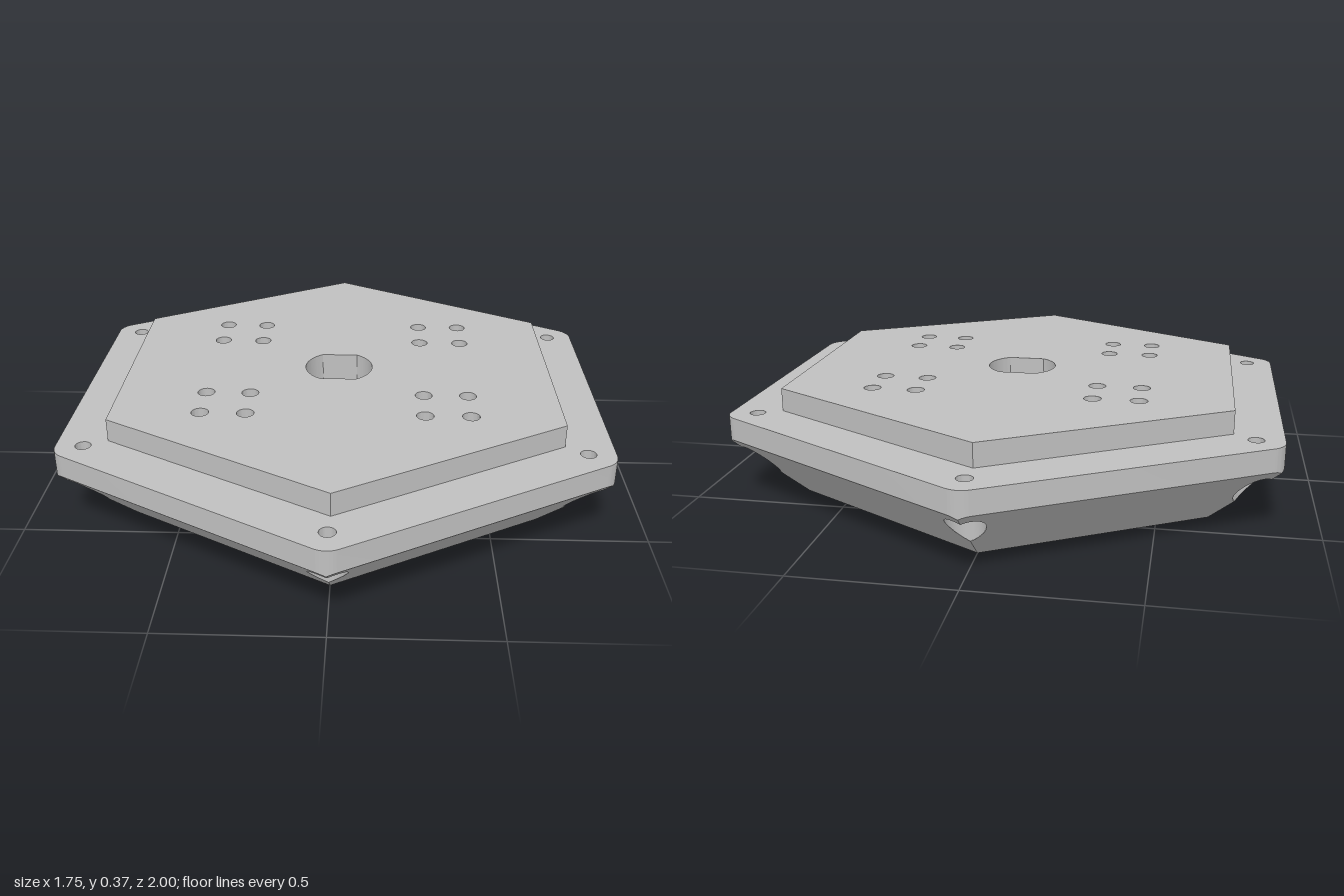
import * as THREE from 'three';
import { toCreasedNormals } from 'three/addons/utils/BufferGeometryUtils.js';

const BASE = 0.66, RIM = 0.215, FLANGE_TOP = 0.29, TOP = 0.365, BORE = 0.31;
const C30 = Math.cos(Math.PI / 6), T30 = Math.tan(Math.PI / 6);
const CORNER_R = 0.91, BOLT = 0.025, SEAT = 0.058, SEAT_Y = 0.186, SCREW = 0.028;

const material = new THREE.MeshStandardMaterial({ color: 0xc0c0c0, side: THREE.DoubleSide });
material.name = 'light grey';

const polar = (r, a) => new THREE.Vector2(r * Math.cos(a), r * Math.sin(a));
const corners = [0, 1, 2, 3, 4, 5].map(k => Math.PI / 6 + k * Math.PI / 3);

function hexShape(apothem, turn = 0) {
  return new THREE.Shape(corners.map(a => polar(apothem / C30, a + turn)));
}

function roundedHex(apothem, r) {
  const s = new THREE.Shape();
  for (const a of corners) {
    const c = polar((apothem - r) / C30, a);
    s.absarc(c.x, c.y, r, a - Math.PI / 6, a + Math.PI / 6, false);
  }
  return s;
}

function circle(x, y, r) {
  return new THREE.Path().absarc(x, y, r, 0, Math.PI * 2, true);
}

// Four groups of four screw holes
const screws = [];
for (const x of [-0.43, -0.285, 0.285, 0.43])
  for (const z of [-0.36, -0.215, 0.215, 0.36]) screws.push([x, z]);
const screwHoles = () => screws.map(([x, z]) => circle(x, z, SCREW));

// Round shaft opening with two flats
function shaftHole() {
  const r = 0.115, a = Math.asin(0.098 / r), p = new THREE.Path();
  p.absarc(0, 0, r, a, -a, true);
  p.absarc(0, 0, r, Math.PI + a, Math.PI - a, true);
  p.closePath();
  return p;
}

function slab(shape, y0, y1) {
  const g = new THREE.ExtrudeGeometry(shape, { depth: y1 - y0, bevelEnabled: false, curveSegments: 14 });
  return g.rotateX(-Math.PI / 2).translate(0, y0, 0);
}

// Skin through closed rings of points
function loft(rings) {
  const n = rings[0].length, index = [];
  for (let i = 0; i < rings.length - 1; i++)
    for (let j = 0; j < n; j++) {
      const a = i * n + j, b = i * n + (j + 1) % n;
      index.push(a, b, a + n, b, b + n, a + n);
    }
  const g = new THREE.BufferGeometry();
  g.setAttribute('position', new THREE.Float32BufferAttribute(rings.flat(2), 3));
  g.setIndex(index);
  return toCreasedNormals(g, 0.6);
}

// Strap tunnel section: t = 0 at the sloped side, 1 at the underside
function tunnelSection(t) {
  const f = (2 * t - 1) ** 2;
  const inner = 0.1 + (THREE.MathUtils.lerp(0.057, 0.085, t) - 0.1) * f;
  const outer = 0.2 + (THREE.MathUtils.lerp(0.24, 0.28, t) - 0.2) * f;
  return { inner, outer, wIn: 0.075 + 0.018 * f, wOut: 0.075, angle: Math.PI / 4 * (1 + 3 * t) };
}

// Sloped side, drawn flat as (u, y), with bites for the bolt seats
function sideGeometry(hasSlot) {
  const s = new THREE.Shape(), u = 0.788 * T30, yc = 0.788 - BASE;
  const ur = 0.805 * T30, yr = 0.805 - BASE, P = Math.PI;
  s.moveTo(-BASE * T30, 0);
  s.lineTo(BASE * T30, 0);
  s.absarc(u, yc, SEAT, P * 4 / 3, P / 3, true);
  s.absarc(ur, yr, 0.07, P / 3, P / 2, false);
  s.absarc(-ur, yr, 0.07, P / 2, P * 2 / 3, false);
  s.absarc(-u, yc, SEAT, P * 2 / 3, -P / 3, true);
  s.closePath();
  if (hasSlot) {
    const m = tunnelSection(0), y0 = m.inner * Math.SQRT1_2, y1 = m.outer * Math.SQRT1_2;
    s.holes.push(new THREE.Path([[-m.wIn, y0], [-m.wOut, y1], [m.wOut, y1], [m.wIn, y0]]
      .map(p => new THREE.Vector2(...p))));
  }
  const g = new THREE.ShapeGeometry(s, 20), pos = g.attributes.position;
  for (let i = 0; i < pos.count; i++) pos.setZ(i, BASE + pos.getY(i));
  g.computeVertexNormals();
  return g;
}

// Height of the sloped sides above a point in plan
function slopeY(x, z) {
  return Math.max(...corners.map(a => x * Math.cos(a - Math.PI / 6) + z * Math.sin(a - Math.PI / 6))) - BASE;
}

export function createModel() {
  const model = new THREE.Group();
  model.name = 'hexagonalMount';
  const add = (name, geometry, parent = model) => {
    const mesh = new THREE.Mesh(geometry, material);
    mesh.name = name;
    parent.add(mesh);
    return mesh;
  };
  const liner = (name, x, z, r, y0, y1, parent) => add(name,
    new THREE.CylinderGeometry(r, r, y1 - y0, r > 0.1 ? 64 : 24, 1, true).translate(x, (y0 + y1) / 2, z), parent);

  // Raised top plate
  const plate = hexShape(0.72, 0.007);
  plate.holes.push(shaftHole(), ...screwHoles());
  add('topPlate', toCreasedNormals(slab(plate, FLANGE_TOP, TOP), 0.5));

  // Ceiling of the bore
  const collar = new THREE.Shape().absarc(0, 0, BORE, 0, Math.PI * 2, false);
  collar.holes.push(shaftHole());
  add('boreCeiling', toCreasedNormals(slab(collar, 0.25, FLANGE_TOP), 0.5));

  // Flange with rounded corners that follow the slopes underneath
  const rim = roundedHex(0.875, 0.07);
  rim.holes.push(circle(0, 0, BORE), ...screwHoles(),
    ...corners.map(a => polar(CORNER_R, a)).map(c => circle(c.x, c.y, BOLT)));
  const flange = slab(rim, RIM, FLANGE_TOP), fp = flange.attributes.position;
  for (let i = 0; i < fp.count; i++) {
    const x = fp.getX(i), z = fp.getZ(i);
    if (fp.getY(i) < RIM + 0.01 && Math.hypot(x, z) > 0.96) fp.setY(i, slopeY(x, z));
  }
  add('flange', toCreasedNormals(flange, 0.5));

  // Underside with bore, screw holes and strap slots
  const under = hexShape(BASE), m = tunnelSection(1);
  under.holes.push(circle(0, 0, BORE), ...screwHoles());
  for (const s of [-1, 1]) {
    const x0 = s * (BASE - m.inner), x1 = s * (BASE - m.outer);
    under.holes.push(new THREE.Path([[x0, -m.wIn], [x1, -m.wOut], [x1, m.wOut], [x0, m.wIn]]
      .map(p => new THREE.Vector2(...p))));
  }
  add('underside', new THREE.ShapeGeometry(under, 16).rotateX(Math.PI / 2));
  liner('boreWall', 0, 0, BORE, 0, 0.25);
  screws.forEach(([x, z]) => liner('screwHole', x, z, SCREW, 0, RIM));

  // Sloped sides
  for (let k = 0; k < 6; k++)
    add('slopedSide', sideGeometry(k % 3 === 0)).rotation.y = Math.PI / 2 + k * Math.PI / 3;

  // Curved strap tunnels in the left and right sides
  const rings = [];
  for (let i = 0; i <= 16; i++) {
    const { inner, outer, wIn, wOut, angle } = tunnelSection(i / 16);
    const at = (d, w) => [w, d * Math.sin(angle), BASE + d * Math.cos(angle)];
    rings.push([at(inner, -wIn), at(inner, wIn), at(outer, wOut), at(outer, -wOut)]);
  }
  for (const s of [-1, 1]) add('strapTunnel', loft(rings)).rotation.y = s * Math.PI / 2;

  // Bolt seats under the six corners
  const low = [], high = [];
  for (let i = 0; i < 40; i++) {
    const p = polar(SEAT, i * Math.PI / 20), z = CORNER_R + p.y;
    low.push([p.x, Math.min(slopeY(p.x, z), SEAT_Y), z]);
    high.push([p.x, SEAT_Y, z]);
  }
  for (let k = 0; k < 6; k++) {
    const seat = new THREE.Group();
    seat.name = 'boltSeat';
    add('seatWall', loft([low, high]), seat);
    add('seatCeiling', new THREE.RingGeometry(BOLT, SEAT, 40).rotateX(Math.PI / 2).translate(0, SEAT_Y, CORNER_R), seat);
    liner('boltHole', 0, CORNER_R, BOLT, SEAT_Y, RIM, seat);
    seat.rotation.y = k * Math.PI / 3;
    model.add(seat);
  }
  return model;
}
